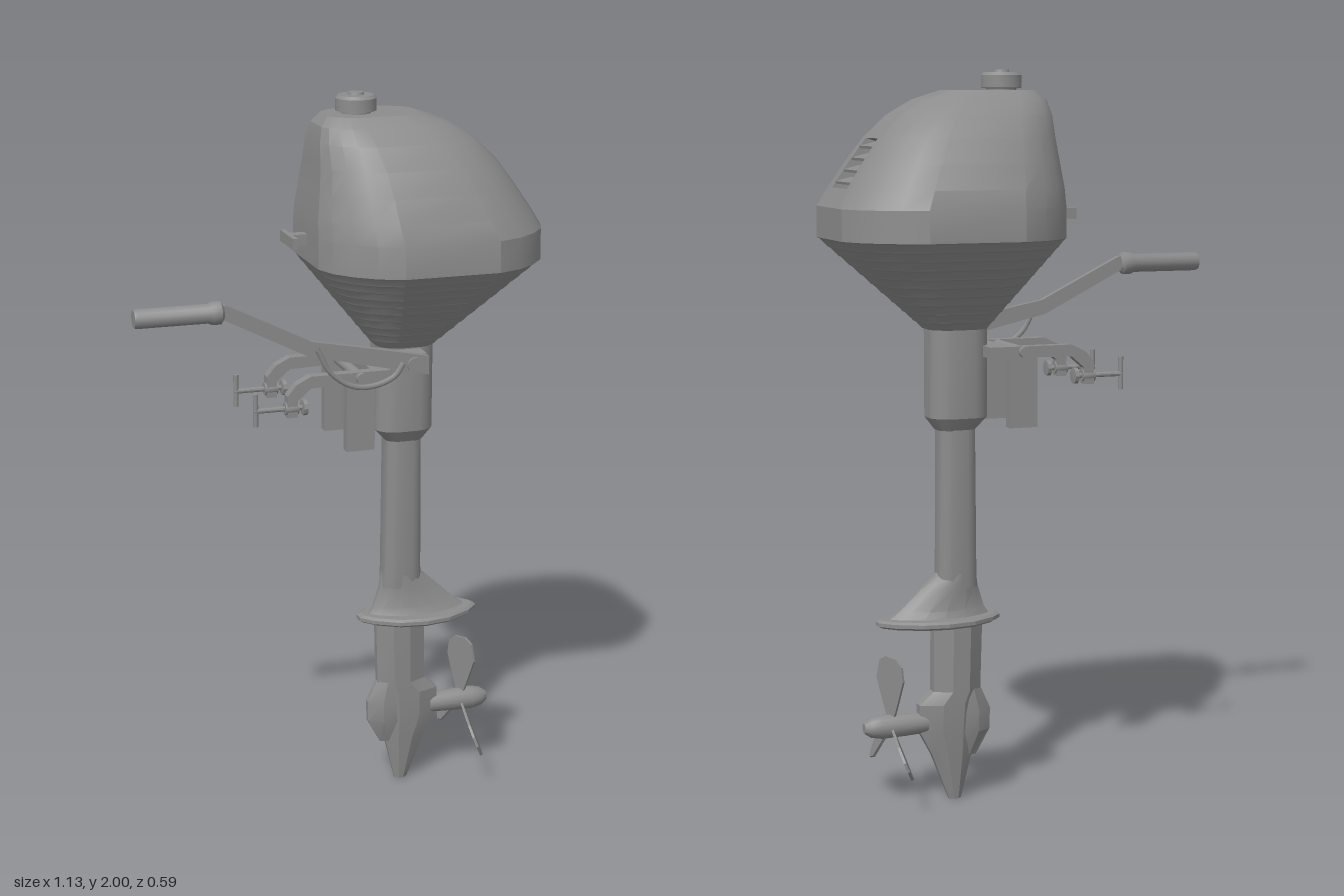
import * as THREE from 'three';
import { toCreasedNormals } from 'three/addons/utils/BufferGeometryUtils.js';

const grey = new THREE.MeshStandardMaterial({ color: 0x8c8c8c, side: THREE.DoubleSide });
grey.name = 'engine grey';

const V = (x, y, z) => new THREE.Vector3(x, y, z);

// Skin a stack of equal-length loops and cap both ends; skip(j, i) leaves a face open
function loft(rings, crease = 0.4, skip = () => false, capStart = true) {
  const pos = [];
  const tri = (...pts) => pts.forEach((p) => pos.push(p.x, p.y, p.z));
  const n = rings[0].length;
  for (let j = 0; j < rings.length - 1; j++) {
    for (let i = 0; i < n; i++) {
      if (skip(j, i)) continue;
      const k = (i + 1) % n, a = rings[j], b = rings[j + 1];
      tri(a[i], a[k], b[k]);
      tri(a[i], b[k], b[i]);
    }
  }
  const lo = rings[0], hi = rings[rings.length - 1];
  for (let i = 1; i < n - 1; i++) {
    if (capStart) tri(lo[0], lo[i + 1], lo[i]);
    tri(hi[0], hi[i], hi[i + 1]);
  }
  const geo = new THREE.BufferGeometry();
  geo.setAttribute('position', new THREE.Float32BufferAttribute(pos, 3));
  geo.computeVertexNormals();
  return toCreasedNormals(geo, crease);
}

// Unit outlines: a half outline mirrored across the centre plane
const mirror = (half) => [...half, ...half.slice().reverse().map(([x, s]) => [x, -s])];
const quarter = [[1, 0.25], [1, 0.4], [0.93, 0.6], [0.8, 0.77], [0.63, 0.91], [0.42, 1]];
const COWL = mirror([...quarter, ...quarter.slice().reverse().map(([x, s]) => [-x, s])]);
const FOIL = mirror([[1, 0.4], [0.3, 1], [-0.4, 1], [-1, 0.25]]);
const LEAF = mirror([[1, 0.12], [0.8, 0.5], [0.4, 0.88], [0, 1], [-0.45, 0.88], [-0.82, 0.5], [-1, 0.15]]);
const section = (outline, [y, x0, x1, hz]) =>
  outline.map(([x, s]) => V((x0 + x1) / 2 + (x * (x1 - x0)) / 2, y, -s * hz));
const stack = (outline, rows) => rows.map((r) => section(outline, r));

// Flat outline in the xy plane, given thickness about a z position
function plate(points, depth, z) {
  const shape = new THREE.Shape(points.map(([x, y]) => new THREE.Vector2(x, y)));
  return new THREE.ExtrudeGeometry(shape, { depth, bevelEnabled: false, curveSegments: 4 })
    .translate(0, 0, z - depth / 2);
}
const box = (x0, x1, y0, y1, z0, z1) =>
  new THREE.BoxGeometry(x1 - x0, y1 - y0, z1 - z0).translate((x0 + x1) / 2, (y0 + y1) / 2, (z0 + z1) / 2);
// Lathe about the x axis from [x, radius] pairs
const latheX = (pts, y, z, sides = 16) =>
  toCreasedNormals(new THREE.LatheGeometry(pts.map(([x, r]) => new THREE.Vector2(r, -x)).reverse(), sides)
    .rotateZ(Math.PI / 2).translate(0, y, z), 0.6);
const rodZ = (r, z0, z1, x, y) =>
  new THREE.CylinderGeometry(r, r, z1 - z0, 14).rotateX(Math.PI / 2).translate(x, y, (z0 + z1) / 2);

export function createModel() {
  const model = new THREE.Group();
  model.name = 'outboardMotor';
  const add = (name, geo, parent = model) => {
    const mesh = new THREE.Mesh(geo, grey);
    mesh.name = name;
    parent.add(mesh);
    return mesh;
  };

  // Engine cover, with an opening for the vent on its sloping side
  const cowl = stack(COWL, [
    [1.56, -0.065, 0.56, 0.295], [1.64, -0.065, 0.56, 0.292], [1.69, -0.063, 0.53, 0.273],
    [1.755, -0.055, 0.487, 0.244], [1.82, -0.048, 0.44, 0.209], [1.88, -0.045, 0.38, 0.167],
    [1.92, -0.035, 0.315, 0.125], [1.945, -0.015, 0.24, 0.085],
  ]);
  const last = COWL.length - 1;
  add('engineCover', loft(cowl, 0.35, (j, i) => i === last && (j === 2 || j === 3)));

  // Recessed vent and louvres
  const rim = [cowl[2][last], cowl[2][0], cowl[3][0], cowl[4][0], cowl[4][last], cowl[3][last]];
  const inner = rim.map((p) => V(p.x - 0.035, p.y - 0.012, p.z * 0.9));
  add('ventPocket', loft([rim, inner], 0.3, undefined, false));
  for (let i = 0; i < 4; i++) {
    const t = (i + 0.6) / 4.2;
    add('ventLouvre', new THREE.BoxGeometry(0.045, 0.007, 0.13 - 0.022 * t)
      .rotateZ(-0.25).translate(0.512 - 0.09 * t, 1.69 + 0.13 * t, 0));
  }

  // Stepped lower cover tapering to the neck
  const steps = 10, rows = [];
  for (let i = 0; i < steps; i++) {
    const at = (t, y) => [y, 0.13 - 0.195 * t, 0.29 + 0.27 * t, 0.07 + 0.225 * t];
    const y0 = 1.31 + (0.25 * i) / steps, y1 = 1.31 + (0.25 * (i + 1)) / steps;
    rows.push(at((i + 0.1) / steps, y0), at((i + 0.75) / steps, y1 - 0.007), at((i + 1) / steps, y1 - 0.004));
  }
  rows.push([1.56, -0.065, 0.56, 0.295]);
  add('lowerCover', loft(stack(COWL, rows), 0.3));

  // Fuel cap
  const cap = [[0, 1.93], [0.04, 1.93], [0.04, 1.95], [0.055, 1.952], [0.055, 1.985], [0.048, 1.993],
    [0.022, 1.993], [0.02, 2], [0, 2]].map(([r, y]) => new THREE.Vector2(r, y));
  add('fuelCap', toCreasedNormals(new THREE.LatheGeometry(cap, 24), 0.5).translate(0.075, 0, 0));

  // Pull starter
  add('starterStem', box(-0.11, -0.04, 1.6, 1.63, -0.016, 0.016));
  add('starterGrip', box(-0.118, -0.104, 1.6, 1.63, -0.062, 0.062));

  // Neck, drive column and fairing
  add('neck', loft(stack(COWL, [
    [1.035, 0.16, 0.265, 0.045], [1.07, 0.128, 0.29, 0.066], [1.32, 0.128, 0.29, 0.066]]), 0.5));
  add('driveColumn', loft(stack(COWL, [
    [0.6, 0.155, 0.268, 0.04], [0.66, 0.157, 0.266, 0.042], [1.05, 0.16, 0.262, 0.046]]), 0.5));
  add('fairing', loft(stack(LEAF, [
    [0.515, 0.115, 0.41, 0.062], [0.54, 0.132, 0.375, 0.048], [0.6, 0.15, 0.31, 0.044],
    [0.64, 0.155, 0.268, 0.042]]), 0.5));
  add('coverPlate', loft(stack(LEAF, [
    [0.499, 0.1, 0.425, 0.09], [0.505, 0.088, 0.437, 0.097], [0.515, 0.088, 0.437, 0.097],
    [0.521, 0.1, 0.425, 0.09]]), 0.3));

  // Lower leg, gearcase nose and skeg
  add('lowerLeg', loft(stack(FOIL, [
    [0, 0.2, 0.235, 0.013], [0.02, 0.195, 0.243, 0.016], [0.13, 0.168, 0.285, 0.028],
    [0.2, 0.152, 0.322, 0.036], [0.275, 0.146, 0.322, 0.039], [0.31, 0.144, 0.282, 0.04],
    [0.5, 0.138, 0.28, 0.04]]), 0.25));
  add('gearcaseNose', loft(stack(FOIL, [
    [0.12, 0.155, 0.23, 0.012], [0.19, 0.117, 0.25, 0.032], [0.25, 0.115, 0.25, 0.034],
    [0.31, 0.142, 0.23, 0.03]]), 0.3));

  // Propeller
  const prop = new THREE.Group();
  prop.name = 'propeller';
  prop.position.y = 0.222;
  model.add(prop);
  add('hub', latheX([[0.3, 0], [0.3, 0.028], [0.36, 0.031], [0.43, 0.033], [0.46, 0.027], [0.478, 0.014],
    [0.478, 0]], 0, 0), prop);
  const outline = [[-0.012, 0.02], [-0.034, 0.075], [-0.054, 0.13], [-0.042, 0.18], [-0.018, 0.194],
    [0.022, 0.19], [0.044, 0.17], [0.05, 0.13], [0.03, 0.07], [0.012, 0.02]];
  for (let i = 0; i < 3; i++) {
    add('blade', plate(outline, 0.007, 0).rotateY(Math.PI / 2 + 0.45)
      .rotateX((i * Math.PI * 2) / 3).translate(0.4, 0, 0), prop);
  }

  // Steering tiller and grip
  const tz = 0.127;
  add('tillerArm', plate([[-0.34, 1.485], [-0.32, 1.482], [-0.09, 1.367], [0.04, 1.342], [0.24, 1.302],
    [0.24, 1.25], [0.13, 1.275], [-0.1, 1.328], [-0.33, 1.445]], 0.02, tz));
  add('tillerGrip', latheX([[-0.567, 0], [-0.567, 0.024], [-0.56, 0.026], [-0.37, 0.026], [-0.36, 0.031],
    [-0.336, 0.031], [-0.328, 0.02], [-0.328, 0]], 1.463, tz));
  add('tillerPivot', rodZ(0.022, 0.04, 0.145, 0.2, 1.28));
  add('tillerMount', box(0.14, 0.24, 1.25, 1.305, 0.05, 0.118));
  const arc = new THREE.CatmullRomCurve3([[-0.075, 1.345], [-0.04, 1.28], [0.02, 1.238], [0.08, 1.233],
    [0.14, 1.255], [0.165, 1.29]].map(([x, y]) => V(x, y, 0.143)));
  add('tillerGuide', new THREE.TubeGeometry(arc, 20, 0.008, 6));

  // Mounting clamps, one on each side
  const hook = [[0.14, 1.265], [-0.085, 1.265], [-0.125, 1.245], [-0.15, 1.215], [-0.15, 1.155],
    [-0.122, 1.155], [-0.122, 1.2], [-0.085, 1.232], [0.015, 1.235], [0.015, 1.045], [0.095, 1.045],
    [0.095, 1.235], [0.14, 1.235]];
  for (const side of [-1, 1]) {
    const z = side * 0.1;
    const clamp = new THREE.Group();
    clamp.name = side > 0 ? 'frontClamp' : 'backClamp';
    model.add(clamp);
    add('clampHook', plate(hook, 0.03, z), clamp);
    add('clampScrew', latheX([[-0.24, 0], [-0.24, 0.007], [-0.107, 0.007], [-0.105, 0.022], [-0.094, 0.022],
      [-0.092, 0]], 1.178, z, 10), clamp);
    add('screwBoss', latheX([[-0.155, 0], [-0.155, 0.017], [-0.118, 0.017], [-0.118, 0]], 1.178, z, 12), clamp);
    add('screwHandle', new THREE.CylinderGeometry(0.007, 0.007, 0.09, 10).translate(-0.235, 1.18, z), clamp);
  }
  add('clampPin', rodZ(0.015, -0.13, 0.13, 0.055, 1.25));
  add('clampBridge', box(0.09, 0.15, 1.235, 1.265, -0.115, 0.115));

  return model;
}
